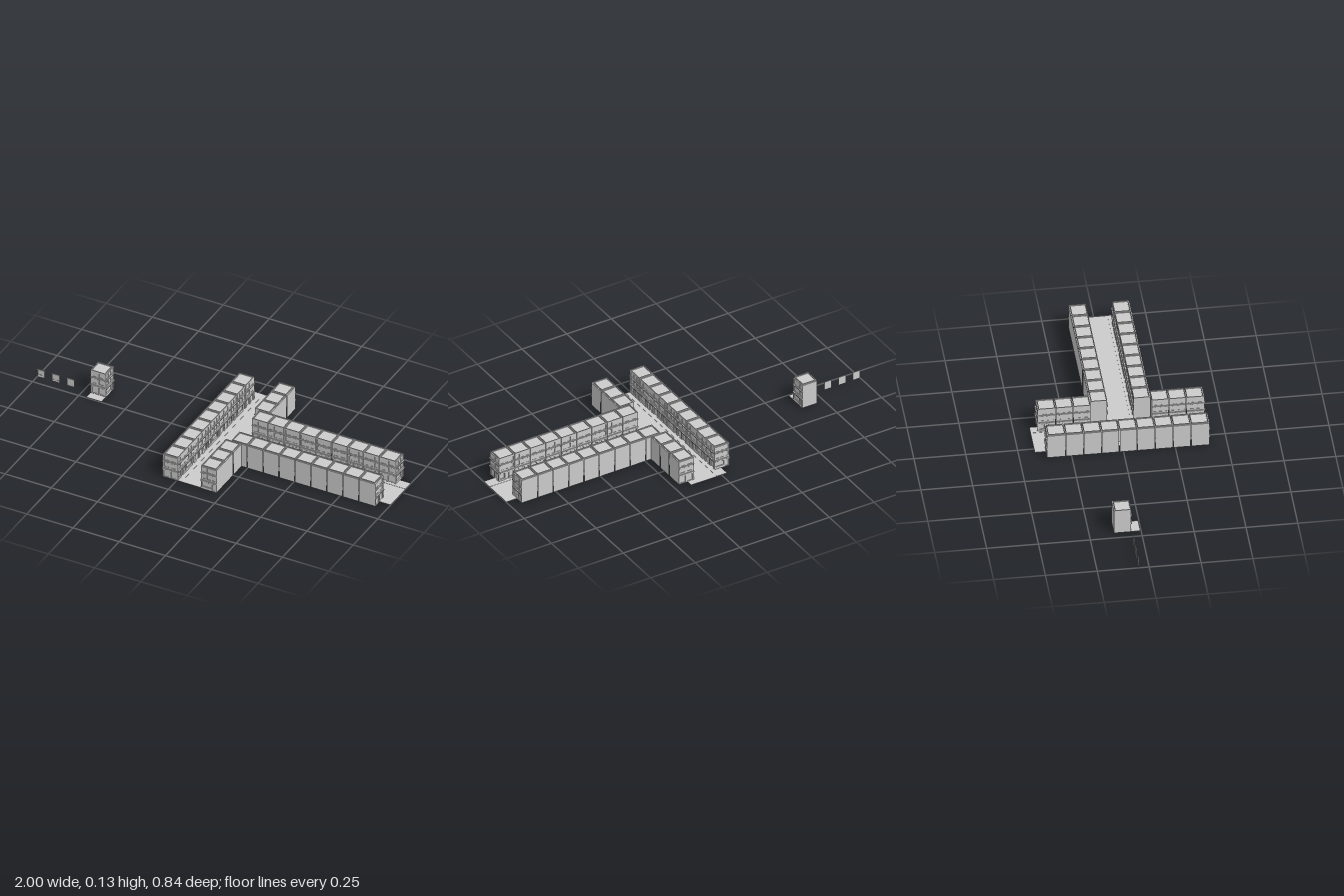
import * as THREE from 'three';
import { mergeGeometries } from 'three/addons/utils/BufferGeometryUtils.js';

// House shells are open underneath, so both sides show
const mat = new THREE.MeshStandardMaterial({ color: 0xcccccc, flatShading: true, side: THREE.DoubleSide });
const H = 0.133, D = 0.083, T = 0.005;

// Box placed by its limits; drop lists sides to leave open (0 +x, 1 -x, 2 top, 3 bottom)
function box(x0, x1, y0, y1, z0, z1, drop = []) {
  const g = new THREE.BoxGeometry(x1 - x0, y1 - y0, z1 - z0);
  g.translate((x0 + x1) / 2, (y0 + y1) / 2, (z0 + z1) / 2);
  g.setIndex(Array.from(g.index.array).filter((_, i) => !drop.includes(Math.floor(i / 6))));
  return g.toNonIndexed();
}

function rect(x0, x1, y0, y1, Type = THREE.Path) {
  return new Type([[x0, y0], [x1, y0], [x1, y1], [x0, y1]].map(p => new THREE.Vector2(...p)));
}

function panel(w, h, holes, depth) {
  const s = rect(-w / 2, w / 2, 0, h, THREE.Shape);
  s.holes = holes.map(a => rect(...a));
  return new THREE.ExtrudeGeometry(s, { depth, bevelEnabled: false });
}

// Ground floor openings as fractions of the width: [left, right, bottom, top]
const SHOPS = [
  [[-0.44, -0.16, 0.012, 0.040], [-0.11, 0.11, 0.003, 0.040], [0.16, 0.44, 0.012, 0.040]],
  [[-0.42, -0.06, 0.003, 0.040], [0.06, 0.42, 0.003, 0.040]],
  [[-0.44, 0.14, 0.015, 0.040], [0.2, 0.42, 0.003, 0.040]],
];

const shopHoles = (w, v) => SHOPS[v].map(([a, b, c, d]) => [a * w, b * w, c, d]);

// Storefront with two window storeys and deep ledges; wall face at z = 0
function facade(w, v) {
  const holes = shopHoles(w, v);
  const parts = [];
  const n = v === 1 ? 2 : 3;
  for (const y of [0.062, 0.1]) {
    for (let i = 0; i < n; i++) {
      const c = ((i + 0.5) / n - 0.5) * w * 0.94;
      const hw = w * (n === 2 ? 0.15 : 0.1);
      holes.push([c - hw, c + hw, y, y + 0.023]);
      parts.push(box(c - hw, c + hw, y, y + 0.023, -T, -0.002));
    }
  }
  parts.push(panel(w, H - T, holes, T).translate(0, 0, -T));
  // Sign ledge, storey ledge and the small blocks beneath them
  parts.push(box(-w / 2, w / 2, 0.047, 0.053, -0.001, 0.005));
  parts.push(box(-w / 2, w / 2, 0.092, 0.096, -0.001, 0.005));
  for (let i = 0; i < 7; i++) {
    const x = (i / 6 - 0.5) * w * 0.9;
    for (const y of [0.044, 0.089]) parts.push(box(x - 0.0015, x + 0.0015, y, y + 0.003, -0.001, 0.004));
  }
  return parts;
}

// One house: shell, sunken roof with set-in parapet, storefront.
// open lists shared sides, endSide adds a second storefront on that side
function house(w, v, open, endSide) {
  const parts = facade(w, v);
  parts.push(box(-w / 2, w / 2, 0, H - T, -D, -T, [3, ...open]));
  const rim = panel(w, D - T, [[-w / 2 + 0.004, w / 2 - 0.004, 0.004, D - T - 0.004]], T);
  parts.push(rim.rotateX(-Math.PI / 2).translate(0, H - T, 0));
  if (endSide) {
    for (const g of facade(D, (v + 1) % 3)) {
      parts.push(g.rotateY(endSide * Math.PI / 2).translate(endSide * (w / 2 + T), 0, -D / 2));
    }
  }
  return new THREE.Mesh(mergeGeometries(parts), mat);
}

// Terrace along local x, storefronts facing local +z
function terrace(name, x, z, turn, length, n, ends) {
  const row = new THREE.Group();
  row.name = name;
  const w = length / n;
  for (let i = 0; i < n; i++) {
    const open = [];
    if (i < n - 1) open.push(0);
    if (i > 0) open.push(1);
    const side = i === 0 ? -1 : i === n - 1 ? 1 : 0;
    const h = house(w - 0.003, (i * 2 + n) % 3, open, ends.includes(side) ? side : 0);
    h.name = 'house' + (i + 1);
    h.position.x = (i + 0.5) * w - length / 2;
    row.add(h);
  }
  row.position.set(x, 0, z);
  row.rotation.y = turn;
  return row;
}

export function createModel() {
  const model = new THREE.Group();
  const add = (name, g) => {
    const m = new THREE.Mesh(g, mat);
    m.name = name;
    model.add(m);
  };

  // Streets and raised pavements
  add('crossStreet', box(-0.03, 0.17, 0, 0.0012, -0.421, 0.415));
  add('mainStreet', box(0.17, 1, 0, 0.0012, -0.087, 0.12));
  add('westPavement', box(-0.03, 0.027, 0.0012, 0.0025, -0.421, 0.415));
  add('eastPavementSouth', box(0.125, 0.17, 0.0012, 0.0025, 0.075, 0.415));
  add('eastPavementNorth', box(0.125, 0.17, 0.0012, 0.0025, -0.421, -0.032));
  add('northPavement', box(0.17, 1, 0.0012, 0.0025, -0.087, -0.032));
  add('southPavement', box(0.17, 1, 0.0012, 0.0025, 0.066, 0.12));

  // Terraces around the T junction
  const q = Math.PI / 2;
  model.add(
    terrace('westTerrace', 0.006, 0.0235, q, 0.776, 9, [-1, 1]),
    terrace('eastTerraceSouth', 0.134, 0.289, -q, 0.252, 3, [1]),
    terrace('eastTerraceNorth', 0.134, -0.256, -q, 0.254, 3, [-1]),
    terrace('southTerrace', 0.549, 0.08, 2 * q, 0.776, 9, [-1]),
    terrace('northTerrace', 0.549, -0.047, 0, 0.776, 9, [1]),
  );

  // Detached corner house on its own pavement
  const single = house(0.078, 1, [], 1);
  single.name = 'detachedHouse';
  single.position.set(-0.672, 0, -0.048);
  model.add(single);
  add('detachedPavement', box(-0.711, -0.629, 0, 0.0012, -0.09, -0.004));

  // Loose storefront panels
  [-0.98, -0.9, -0.82].forEach((x, i) => {
    const w = 0.04;
    const g = panel(w, 0.044, shopHoles(w, [2, 0, 1][i]), 0.002);
    const back = box(-w / 2, w / 2, 0, 0.044, -0.001, 0);
    const ledge = box(-w / 2, w / 2, 0.038, 0.043, 0.002, 0.0035);
    add('storefrontPanel' + (i + 1), mergeGeometries([g, back, ledge]).translate(x, 0, -0.051));
  });
  return model;
}
